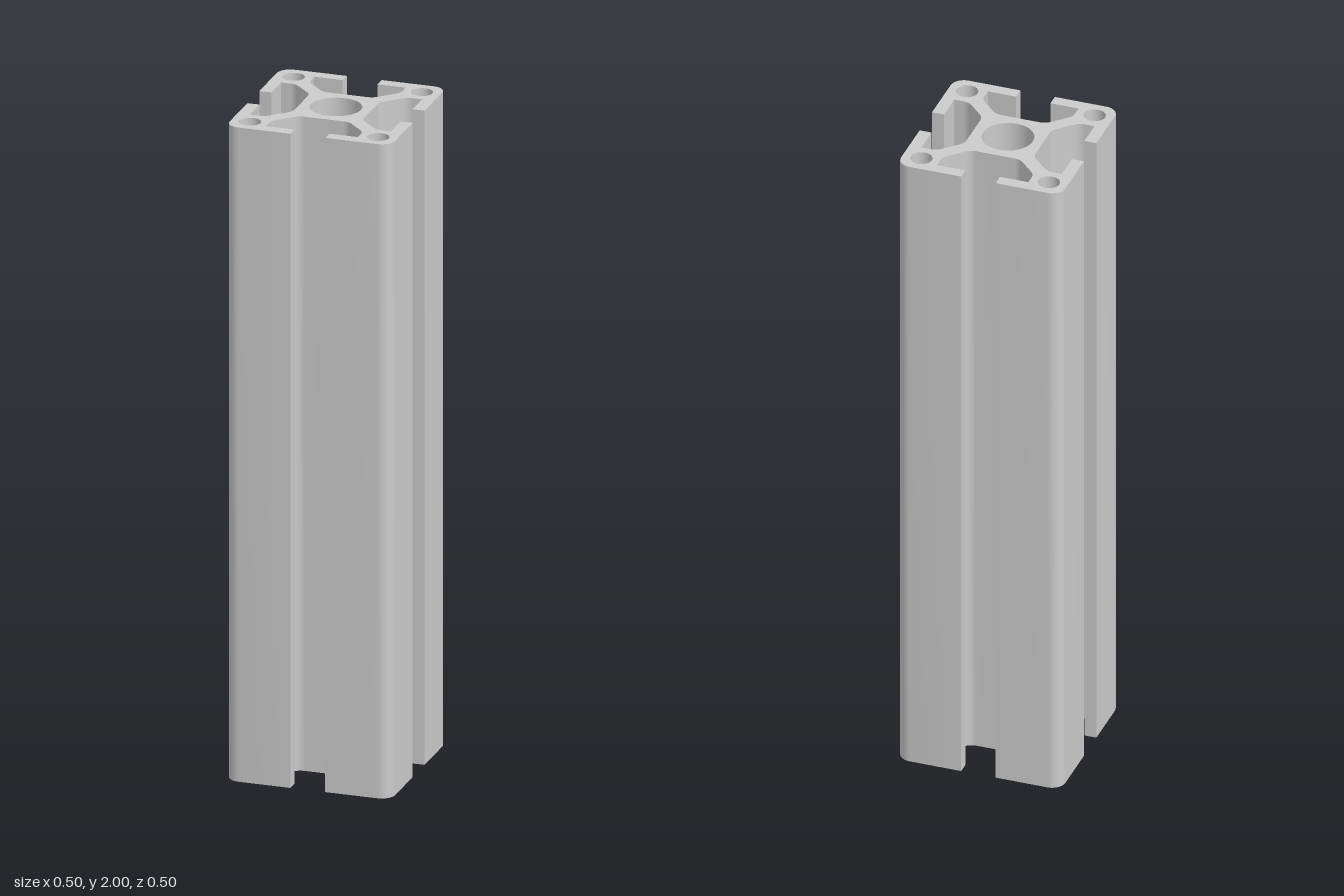
import * as THREE from 'three';
import { toCreasedNormals } from 'three/addons/utils/BufferGeometryUtils.js';

const UNIT = 100; // drawn in hundredths so creasing can tell close vertices apart

// Closed outline from [x, y, radius] corners; a radius rounds the corner with an arc.
function filletedOutline(corners, steps = 8) {
  const points = [];
  corners.forEach(([x, y, r], i) => {
    const p = new THREE.Vector2(x, y);
    if (!r) return points.push(p);
    const n = corners.length;
    const [ax, ay] = corners[(i + n - 1) % n];
    const [bx, by] = corners[(i + 1) % n];
    const a = new THREE.Vector2(ax, ay).sub(p).normalize();
    const b = new THREE.Vector2(bx, by).sub(p).normalize();
    const half = Math.acos(a.dot(b)) / 2;
    const centre = a.clone().add(b).normalize().multiplyScalar(r / Math.sin(half)).add(p);
    const start = a.clone().multiplyScalar(r / Math.tan(half)).add(p);
    const sweep = (Math.PI - 2 * half) * Math.sign(b.cross(a));
    for (let k = 0; k <= steps; k++) {
      points.push(start.clone().rotateAround(centre, sweep * k / steps));
    }
  });
  return points;
}

function circleHole(x, y, r) {
  return new THREE.Path().absarc(x, y, r, 0, Math.PI * 2, true);
}

export function createModel() {
  const group = new THREE.Group();
  group.name = 'slottedExtrusion';

  // One side: rounded outer corner, then half of the T-slot and its mirror image
  const halfSlot = [
    [5.25, 25, 0], [5.25, 21.35, 0], [13.85, 21.35, 0],
    [13.85, 16.85, 4], [7.5, 10.5, 4],
  ];
  const side = [
    [25, 25, 4],
    ...halfSlot,
    ...halfSlot.map(([x, y, r]) => [-x, y, r]).reverse(),
  ];

  // Four sides, each turned a quarter further
  const corners = [];
  for (let q = 0; q < 4; q++) {
    const c = [1, 0, -1, 0][q], s = [0, 1, 0, -1][q];
    for (const [x, y, r] of side) corners.push([x * c - y * s, x * s + y * c, r]);
  }
  const section = new THREE.Shape(filletedOutline(corners));

  // Central bore and four corner bores
  section.holes.push(circleHole(0, 0, 7.55));
  for (const x of [-19.4, 19.4]) {
    for (const y of [-19.4, 19.4]) section.holes.push(circleHole(x, y, 3.2));
  }

  // Extrude upright, smooth the curves, return to model size
  const extruded = new THREE.ExtrudeGeometry(section, {
    depth: 2 * UNIT, bevelEnabled: false, curveSegments: 48,
  });
  const geometry = toCreasedNormals(extruded, 0.5);
  geometry.rotateX(-Math.PI / 2).scale(1 / UNIT, 1 / UNIT, 1 / UNIT);

  const rail = new THREE.Mesh(geometry, new THREE.MeshStandardMaterial({ color: 0xcccccc }));
  rail.name = 'slottedRail';
  group.add(rail);
  return group;
}
